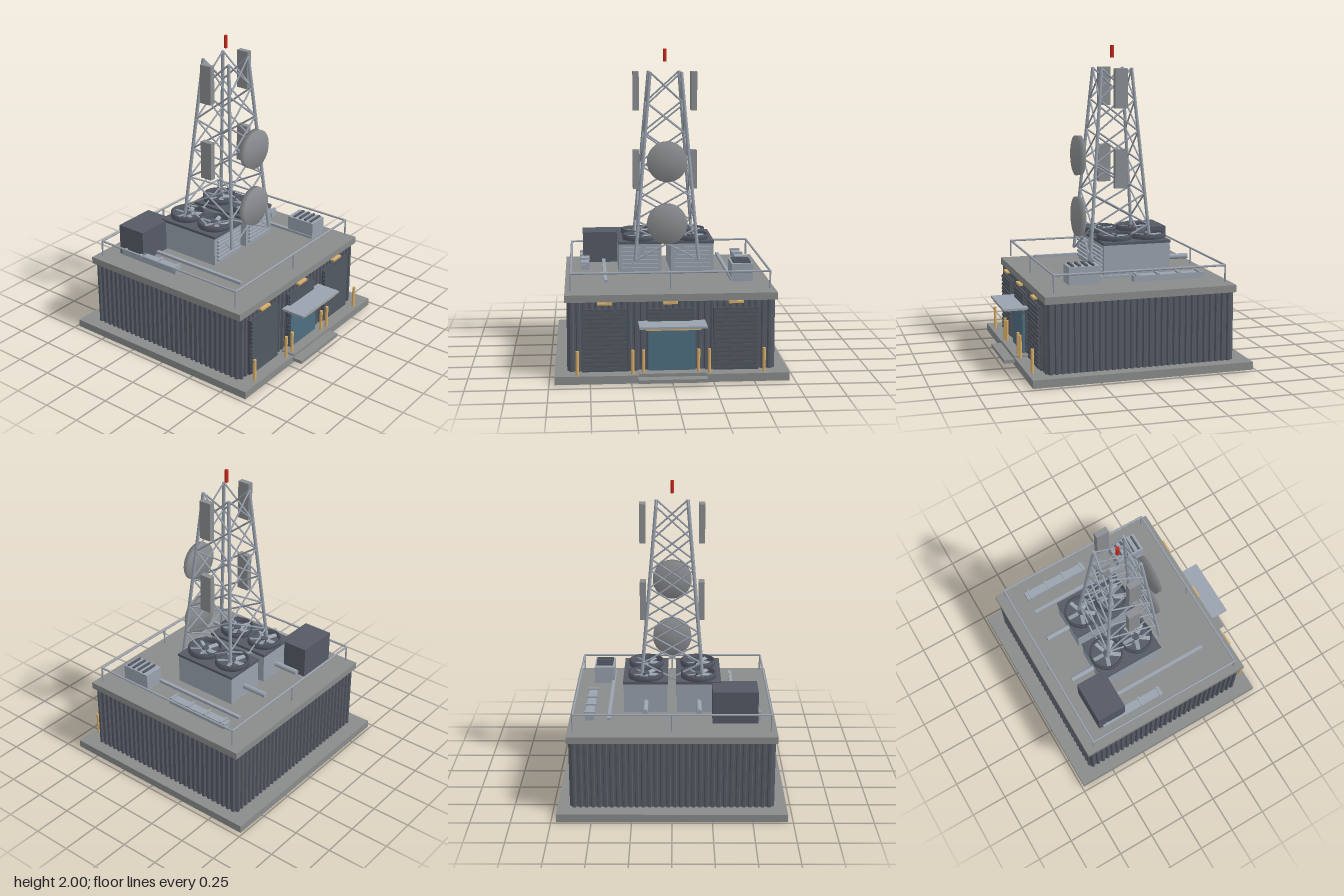
import * as THREE from 'three';
import { mergeVertices } from 'three/addons/utils/BufferGeometryUtils.js';

const ZC = -0.035; // building centre in z
const mat = (color, side = THREE.FrontSide) => new THREE.MeshStandardMaterial({ color, side });
const M = {
  concrete: mat(0x8a8c8c), wall: mat(0x565c66), dark: mat(0x555a66), shutter: mat(0x4d535c),
  metal: mat(0x9aa2ae), panel: mat(0x8c8f92), amber: mat(0xd9ae68), glass: mat(0x4f6f80), red: mat(0xc82a1e),
};

export function createModel() {
  const model = new THREE.Group();
  const add = (name, geo, m, parent = model) => {
    const mesh = new THREE.Mesh(geo, m);
    mesh.name = name;
    parent.add(mesh);
    return mesh;
  };
  const group = (name) => {
    const g = new THREE.Group();
    g.name = name;
    model.add(g);
    return g;
  };
  // box from its min and max corners
  const box = (name, x0, x1, y0, y1, z0, z1, m, parent) => {
    const mesh = add(name, new THREE.BoxGeometry(x1 - x0, y1 - y0, z1 - z0), m, parent);
    mesh.position.set((x0 + x1) / 2, (y0 + y1) / 2, (z0 + z1) / 2);
    return mesh;
  };
  // round bar between two points
  const bar = (name, a, b, r, m, parent, sides = 8) => {
    const p = new THREE.Vector3(...a), d = new THREE.Vector3(...b).sub(p);
    const mesh = add(name, new THREE.CylinderGeometry(r, r, d.length(), sides), m, parent);
    mesh.position.copy(p).addScaledVector(d, 0.5);
    mesh.quaternion.setFromUnitVectors(new THREE.Vector3(0, 1, 0), d.normalize());
    return mesh;
  };

  // Foundation, corrugated walls and roof
  box('foundation', -0.717, 0.717, 0, 0.05, -0.735, 0.667, M.concrete);
  const outline = [];
  const W = 0.64, D = 0.602, depth = 0.012;
  const side = (n, at, len) => { // raised and sunk flats along one wall
    const p = len * 2 / n;
    for (let i = 0; i < n; i++) {
      const s = -len + i * p;
      outline.push(at(s + p * 0.1, depth), at(s + p * 0.25, 0), at(s + p * 0.65, 0), at(s + p * 0.8, depth));
    }
  };
  side(32, (s, d) => new THREE.Vector2(s, -D + d), W - depth);
  side(30, (s, d) => new THREE.Vector2(W - d, s), D - depth);
  side(32, (s, d) => new THREE.Vector2(-s, D - d), W - depth);
  side(30, (s, d) => new THREE.Vector2(-W + d, -s), D - depth);
  const walls = add('corrugatedWalls',
    new THREE.ExtrudeGeometry(new THREE.Shape(outline), { depth: 0.44, bevelEnabled: false }), M.wall);
  walls.rotation.x = -Math.PI / 2;
  walls.position.set(0, 0.05, ZC);
  box('roofSlab', -0.653, 0.653, 0.485, 0.53, -0.645, 0.575, M.concrete);

  // Three bays: roller shutter, lamp and a pair of bollards
  [-0.41, -0.008, 0.395].forEach((x) => {
    const bay = group('shutterBay');
    box('shutterBacking', x - 0.14, x + 0.14, 0.05, 0.44, 0.55, 0.578, M.shutter, bay);
    for (let i = 0; i < 14; i++) {
      const y = 0.062 + i * 0.027;
      const slat = box('shutterSlat', x - 0.138, x + 0.138, y, y + 0.018, 0.575, 0.592, M.shutter, bay);
      slat.rotation.x = -0.2;
    }
    box('wallLamp', x - 0.045, x + 0.045, 0.472, 0.485, 0.57, 0.597, M.amber, bay);
    [-0.168, 0.168].forEach((o) =>
      bar('bollard', [x + o, 0.05, 0.635], [x + o, 0.2, 0.635], 0.01, M.amber, bay, 12));
  });

  // Entrance
  const entrance = group('entrance');
  box('glassDoor', -0.143, 0.143, 0.06, 0.315, 0.585, 0.602, M.glass, entrance);
  box('doorHead', -0.143, 0.143, 0.315, 0.33, 0.585, 0.6, M.dark, entrance);
  box('canopy', -0.205, 0.205, 0.352, 0.366, 0.573, 0.735, M.metal, entrance);
  box('canopyLight', -0.165, 0.165, 0.343, 0.352, 0.695, 0.73, M.amber, entrance);
  box('lowerStep', -0.21, 0.21, 0.018, 0.04, 0.6, 0.735, M.concrete, entrance);
  box('upperStep', -0.205, 0.205, 0.04, 0.06, 0.58, 0.67, M.concrete, entrance);

  // Roof railing
  const railing = group('railing');
  const rx = 0.614, z0 = -0.583, z1 = 0.512, ry = 0.652;
  const corners = [[-rx, z0], [rx, z0], [rx, z1], [-rx, z1]];
  corners.forEach(([x, z], i) => {
    const [nx, nz] = corners[(i + 1) % 4];
    bar('rail', [x, ry, z], [nx, ry, nz], 0.007, M.metal, railing);
    bar('railPost', [x, 0.545, z], [x, 0.656, z], 0.006, M.metal, railing);
  });
  [z0, z1].forEach((z) => bar('railPost', [0, 0.545, z], [0, 0.656, z], 0.006, M.metal, railing));

  // Cooling units with louvres, fans and a rear pipe
  [-1, 1].forEach((s) => {
    const unit = group('coolingUnit'), x = s * 0.168;
    box('unitBody', x - 0.138, x + 0.138, 0.565, 0.755, -0.327, 0.11, M.metal, unit);
    box('unitTop', x - 0.142, x + 0.142, 0.755, 0.772, -0.331, 0.114, M.dark, unit);
    for (let i = 0; i < 6; i++) {
      const y = 0.59 + i * 0.026;
      box('louvre', x - 0.115, x + 0.115, y, y + 0.014, 0.11, 0.125, M.metal, unit);
    }
    [-0.223, 0.002].forEach((z) => {
      const fan = new THREE.Group();
      fan.name = 'fan';
      fan.position.set(x, 0.787, z);
      unit.add(fan);
      const wall = [[0.098, -0.015], [0.112, -0.015], [0.112, 0.017], [0.098, 0.017], [0.098, -0.015]];
      add('fanRing', new THREE.LatheGeometry(wall.map((p) => new THREE.Vector2(...p)), 32), M.dark, fan);
      add('fanHub', new THREE.CylinderGeometry(0.024, 0.024, 0.022, 16), M.dark, fan);
      for (let i = 0; i < 5; i++) {
        const arm = new THREE.Group();
        arm.rotation.y = Math.PI / 2 + i * Math.PI * 0.4;
        fan.add(arm);
        const blade = box('fanBlade', 0.015, 0.096, -0.003, 0.003, -0.013, 0.013, M.metal, arm);
        blade.rotation.x = 0.35;
      }
    });
    bar('rearPipe', [x, 0.635, -0.495], [x, 0.635, -0.32], 0.018, M.metal, unit, 16);
  });

  // Other roof equipment
  box('plantBox', -0.537, -0.253, 0.56, 0.765, -0.495, -0.296, M.dark);
  box('conduit', -0.408, -0.386, 0.565, 0.583, -0.296, 0.394, M.metal);
  box('conduit', 0.384, 0.406, 0.565, 0.583, -0.467, 0.394, M.metal);
  [-0.524, 0.517].forEach((x) => {
    const duct = group('duct');
    box('ductBody', x - 0.028, x + 0.028, 0.565, 0.603, -0.467, -0.012, M.metal, duct);
    [-0.436, -0.304, -0.17, -0.03].forEach((z) =>
      box('ductClamp', x - 0.034, x + 0.034, 0.595, 0.614, z - 0.008, z + 0.008, M.metal, duct));
  });
  const vent = group('ventBox');
  box('ventBody', 0.39, 0.525, 0.563, 0.675, 0.195, 0.394, M.metal, vent);
  for (let i = 0; i < 4; i++) {
    const z = 0.238 + i * 0.043;
    box('ventSlat', 0.402, 0.515, 0.67, 0.686, z - 0.007, z + 0.007, M.dark, vent);
  }

  // Lattice tower: four tapering legs, crossed braces on every face
  const tower = group('tower');
  const yLow = 0.66, yHigh = 1.855, levels = 6;
  const corner = (i, t) => {
    const h = 0.203 + (0.1 - 0.203) * t;
    const k = i % 4;
    return [k === 0 || k === 3 ? h : -h, yLow + (yHigh - yLow) * t, ZC + (k < 2 ? h : -h)];
  };
  for (let i = 0; i < 4; i++) {
    bar('towerLeg', corner(i, 0), corner(i, 1), 0.011, M.metal, tower);
    for (let l = 0; l < levels; l++) {
      const a = l / levels, b = (l + 1) / levels;
      bar('brace', corner(i, a), corner(i + 1, b), 0.006, M.metal, tower, 6);
      bar('brace', corner(i + 1, a), corner(i, b), 0.006, M.metal, tower, 6);
    }
  }
  bar('beacon', [0, 1.92, ZC], [0, 2, ZC], 0.012, M.red, tower, 16);

  // Panel antennas on both sides
  [1.1, 1.607].forEach((y) => [-1, 1].forEach((s) => {
    const x = s * 0.188;
    box('panelAntenna', x - 0.019, x + 0.019, y, y + 0.25, ZC - 0.041, ZC + 0.041, M.panel, tower);
  }));

  // Softly shaded drum dishes on the front
  const drum = new THREE.CylinderGeometry(0.128, 0.128, 0.038, 32);
  drum.deleteAttribute('normal');
  drum.deleteAttribute('uv');
  const dishGeo = mergeVertices(drum);
  dishGeo.computeVertexNormals();
  [0.9, 1.297].forEach((y) => {
    const dish = add('dish', dishGeo, M.panel, tower);
    dish.rotation.x = Math.PI / 2;
    dish.position.set(0, y, 0.193);
  });

  return model;
}
